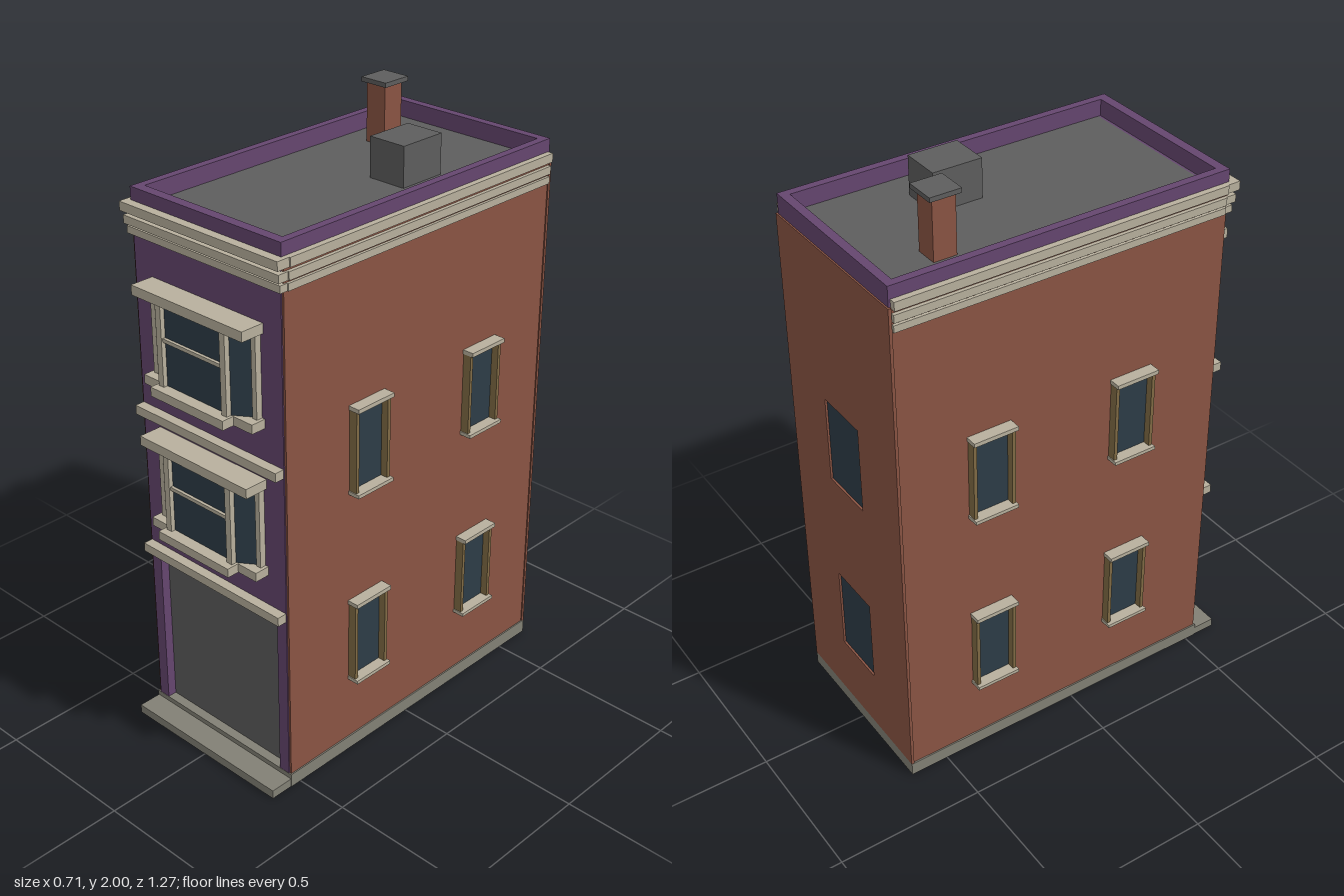
import * as THREE from 'three';

const mat = (name, color) => {
  const m = new THREE.MeshStandardMaterial({ color });
  m.name = name;
  return m;
};

export function createModel() {
  const brick = mat('brick', 0x8a5443);
  const purple = mat('purple paint', 0x65466f);
  const stone = mat('pale stone', 0xb8b09d);
  const grey = mat('dark grey', 0x5d5d5d);
  const glass = mat('window glass', 0x2d3c47);
  const wood = mat('brown frame', 0x806b45);
  const base = mat('plinth grey', 0x828075);

  const model = new THREE.Group();
  model.name = 'townhouse';

  const add = (parent, name, geometry, material) => {
    const mesh = new THREE.Mesh(geometry, material);
    mesh.name = name;
    parent.add(mesh);
    return mesh;
  };
  // Box given by its limits on each axis
  const box = (parent, name, material, [x0, x1], [y0, y1], [z0, z1]) => {
    const g = new THREE.BoxGeometry(x1 - x0, y1 - y0, z1 - z0);
    g.translate((x0 + x1) / 2, (y0 + y1) / 2, (z0 + z1) / 2);
    return add(parent, name, g, material);
  };
  const rect = (x0, x1, y0, y1) =>
    [[x0, y0], [x1, y0], [x1, y1], [x0, y1]].map(([x, y]) => new THREE.Vector2(x, y));
  const extrude = (shape, depth) => new THREE.ExtrudeGeometry(shape, { depth, bevelEnabled: false });

  // Plinth and front step
  box(model, 'plinth', base, [-0.317, 0.317], [0, 0.047], [-0.633, 0.54]);
  box(model, 'frontStep', base, [-0.315, 0.315], [0, 0.03], [0.54, 0.62]);

  // Brick body and side walls
  box(model, 'body', brick, [-0.302, 0.302], [0.04, 1.78], [-0.624, 0.5]);
  for (const s of [-1, 1]) {
    const w = box(model, 'sideWall', brick, [-0.006, 0.006], [0.04, 1.78], [-0.624, 0.535]);
    w.position.x = s * 0.306;
  }

  // Back wall with window openings
  const back = new THREE.Shape(rect(-0.316, 0.316, 0.047, 1.78));
  for (const y of [0.265, 0.95]) {
    back.holes.push(new THREE.Path(rect(-0.097, 0.097, y, y + 0.3)));
    box(model, 'backWindow', glass, [-0.099, 0.099], [y - 0.002, y + 0.302], [-0.627, -0.622]);
  }
  add(model, 'backWall', extrude(back, 0.01), brick).position.z = -0.634;

  // Painted front with the ground floor opening
  const front = new THREE.Shape([
    [-0.305, 0.047], [-0.265, 0.047], [-0.265, 0.63], [0.265, 0.63],
    [0.265, 0.047], [0.305, 0.047], [0.305, 1.79], [-0.305, 1.79],
  ].map(([x, y]) => new THREE.Vector2(x, y)));
  add(model, 'frontWall', extrude(front, 0.04), purple).position.z = 0.499;
  box(model, 'groundFloorPanel', grey, [-0.268, 0.268], [0.04, 0.635], [0.495, 0.508]);

  // String courses
  for (const y of [0.622, 1.118])
    box(model, 'stringCourse', stone, [-0.304, 0.304], [y, y + 0.03], [0.53, 0.572]);

  // Cornice bands on front and sides
  const bands = [[1.703, 1.726, 0.317, 0.553], [1.735, 1.761, 0.32, 0.562], [1.775, 1.804, 0.325, 0.57]];
  for (const [y0, y1, x, z] of bands) {
    box(model, 'frontCornice', stone, [-x, x], [y0, y1], [0.52, z]);
    for (const s of [-1, 1]) {
      const c = box(model, 'sideCornice', stone, [-0.02, 0.02], [y0, y1], [-0.622, 0.525]);
      c.position.x = s * (x - 0.016);
    }
  }

  // Parapet and flat roof
  const parapet = new THREE.Shape(rect(-0.309, 0.309, -0.54, 0.629));
  parapet.holes.push(new THREE.Path(rect(-0.282, 0.282, -0.507, 0.6)));
  const parapetMesh = add(model, 'parapet', extrude(parapet, 0.069), purple);
  parapetMesh.rotation.x = -Math.PI / 2;
  parapetMesh.position.y = 1.777;
  box(model, 'roof', grey, [-0.29, 0.29], [1.77, 1.79], [-0.61, 0.52]);

  // Roof hatch and chimney
  box(model, 'roofHatch', grey, [0.04, 0.175], [1.78, 1.92], [-0.268, -0.1]);
  box(model, 'chimney', brick, [-0.194, -0.118], [1.78, 1.986], [-0.415, -0.338]);
  box(model, 'chimneyCap', grey, [-0.206, -0.104], [1.985, 2], [-0.429, -0.325]);

  // Side windows, built for +x and turned for the other side
  const sideWindow = (s, y, z) => {
    const g = new THREE.Group();
    g.name = 'sideWindow';
    box(g, 'glass', glass, [0.309, 0.316], [y + 0.01, y + 0.29], [-0.067, 0.067]);
    for (const k of [-1, 1]) {
      const jamb = box(g, 'jamb', wood, [0.308, 0.341], [y + 0.01, y + 0.29], [-0.006, 0.006]);
      jamb.position.z = k * 0.068;
    }
    box(g, 'sill', stone, [0.305, 0.354], [y, y + 0.012], [-0.077, 0.077]);
    box(g, 'lintel', stone, [0.305, 0.352], [y + 0.286, y + 0.3], [-0.077, 0.077]);
    g.position.z = z;
    g.rotation.y = s > 0 ? 0 : Math.PI;
    model.add(g);
  };
  for (const s of [-1, 1])
    for (const y of [0.275, 0.957])
      for (const z of [-0.317, 0.2]) sideWindow(s, y, z);

  // Bay windows with canted sides
  const bay = (y) => {
    const g = new THREE.Group();
    g.name = 'bayWindow';
    const span = [0.025, 0.305];
    box(g, 'header', stone, [-0.232, 0.232], [0.298, 0.33], [0.53, 0.62]);
    box(g, 'sillCentre', stone, [-0.155, 0.155], [0, 0.03], [0.53, 0.632]);
    box(g, 'sill', stone, [-0.232, 0.232], [0, 0.03], [0.53, 0.59]);
    box(g, 'centreGlass', glass, [-0.14, 0.14], span, [0.585, 0.592]);
    box(g, 'meetingRail', stone, [-0.13, 0.13], [0.175, 0.187], [0.588, 0.602]);
    for (const s of [-1, 1]) {
      const pane = add(g, 'cantedGlass', new THREE.BoxGeometry(0.092, 0.28, 0.006), glass);
      pane.position.set(s * 0.175, 0.165, 0.566);
      pane.rotation.y = s * 0.6;
      const inner = box(g, 'innerPost', stone, [-0.011, 0.011], span, [0.583, 0.607]);
      inner.position.x = s * 0.135;
      const outer = box(g, 'outerPost', stone, [-0.009, 0.009], span, [0.53, 0.56]);
      outer.position.x = s * 0.212;
    }
    g.position.y = y;
    model.add(g);
  };
  bay(0.757);
  bay(1.255);

  return model;
}
